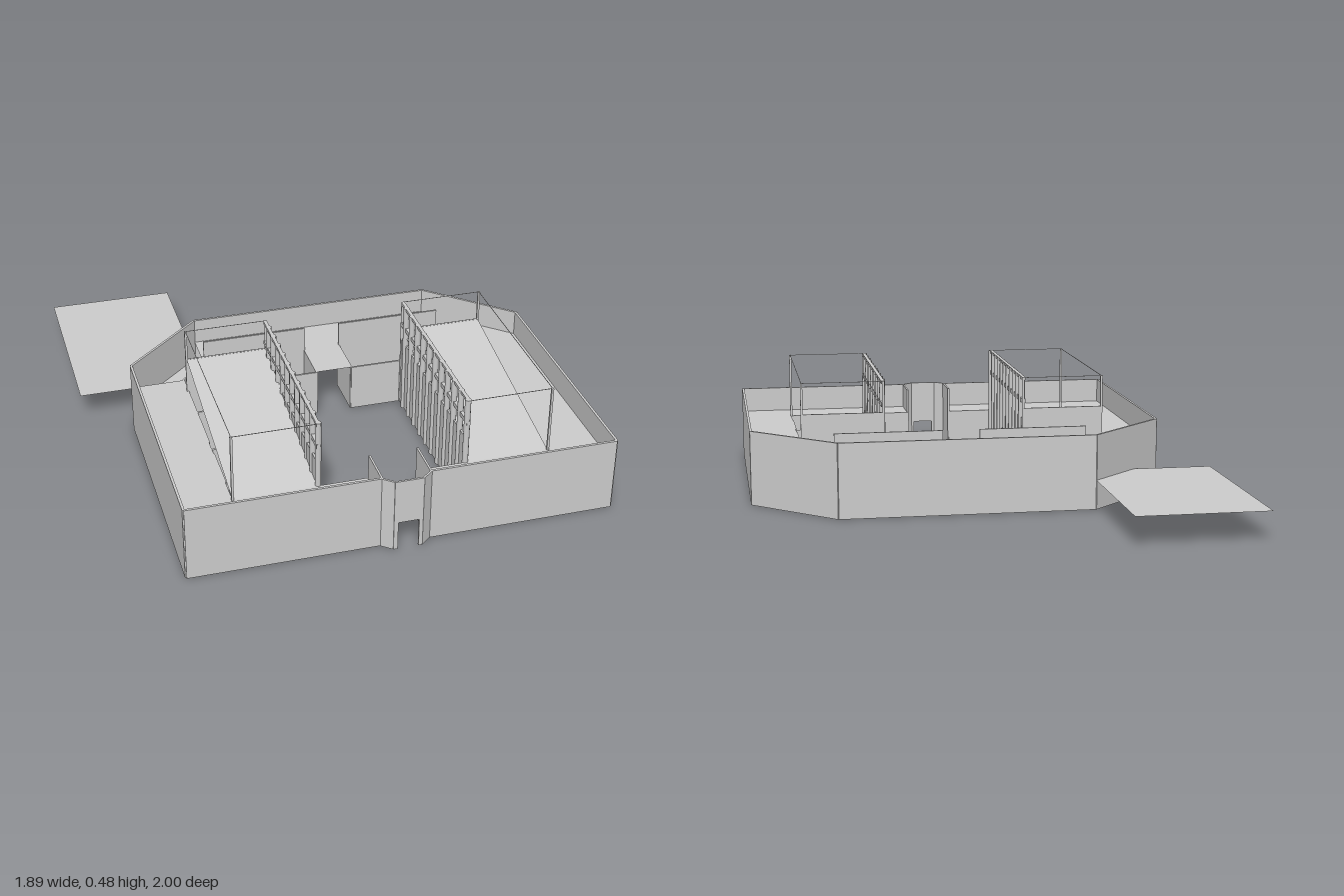
import * as THREE from 'three';

const stone = new THREE.MeshStandardMaterial({ color: 0xcccccc, side: THREE.DoubleSide });
stone.name = 'pale grey stone';

const WALL_TOP = 0.305, ROOF = 0.2, RAMP_TOP = 0.35, RAIL_TOP = 0.48;

export function createModel() {
  const model = new THREE.Group();

  const add = (name, geometry, x = 0, y = 0, z = 0) => {
    const mesh = new THREE.Mesh(geometry, stone);
    mesh.name = name;
    mesh.position.set(x, y, z);
    model.add(mesh);
    return mesh;
  };

  // upright wall between two plan points
  const wall = (name, [x1, z1], [x2, z2], y0, y1, t = 0.008) => {
    const length = Math.hypot(x2 - x1, z2 - z1);
    const mesh = add(name, new THREE.BoxGeometry(length, y1 - y0, t),
      (x1 + x2) / 2, (y0 + y1) / 2, (z1 + z2) / 2);
    mesh.rotation.y = -Math.atan2(z2 - z1, x2 - x1);
  };
  const wallRun = (name, points, y0, y1, t) => {
    for (let i = 1; i < points.length; i++) wall(name, points[i - 1], points[i], y0, y1, t);
  };

  // flat sheet from a plan outline
  const sheet = (name, points, y) => {
    const shape = new THREE.Shape(points.map(([x, z]) => new THREE.Vector2(x, -z)));
    return add(name, new THREE.ShapeGeometry(shape).rotateX(-Math.PI / 2), 0, y, 0);
  };
  const rect = (x1, z1, x2, z2) => [[x1, z2], [x2, z2], [x2, z1], [x1, z1]];

  // outer wall with cut back corners, open at the gate
  wallRun('outerWall', [
    [0, 0.957], [-0.745, 0.957], [-0.745, -0.085], [-0.42, -0.385],
    [0.61, -0.385], [0.936, -0.085], [0.936, 0.957], [0.19, 0.957],
  ], 0, WALL_TOP, 0.01);

  // projecting gatehouse with a doorway
  wallRun('gateLeftSide', [[0.19, 0.8], [0.19, 0.96], [0.15, 0.993]], 0, WALL_TOP);
  wallRun('gateRightSide', [[0, 0.8], [0, 0.96], [0.04, 0.993]], 0, WALL_TOP);
  const front = new THREE.Shape();
  [[0.038, 0], [0.055, 0], [0.055, 0.12], [0.137, 0.12], [0.137, 0], [0.152, 0],
    [0.152, WALL_TOP], [0.038, WALL_TOP]].forEach(([x, y], i) => (i ? front.lineTo(x, y) : front.moveTo(x, y)));
  add('gateFront', new THREE.ExtrudeGeometry(front, { depth: 0.008, bevelEnabled: false }), 0, 0, 0.989);

  // roofs of the outer ranges
  sheet('rightRangeRoof', [[-0.745, -0.085], [-0.53, -0.085], [-0.53, 0.8], [0, 0.8], [0, 0.957], [-0.745, 0.957]], ROOF);
  sheet('leftRangeRoof', [[0.725, -0.18], [0.834, -0.18], [0.936, -0.085], [0.936, 0.957], [0.19, 0.957], [0.19, 0.8], [0.725, 0.8]], ROOF);
  sheet('backRangeRoof', rect(-0.42, -0.385, 0.61, -0.195), ROOF);
  sheet('connectorRoof', rect(0.02, -0.195, 0.17, 0), ROOF);

  // walls facing the inner yards
  wallRun('rightYardWall', [[-0.42, -0.195], [-0.53, -0.09], [-0.53, 0]], 0, ROOF);
  wallRun('leftYardWall', [[0.61, -0.195], [0.725, -0.09], [0.725, 0]], 0, ROOF);
  wall('frontRangeWall', [-0.53, 0.8], [0, 0.8], 0, ROOF);
  wall('frontRangeWall', [0.725, 0.8], [0.19, 0.8], 0, ROOF);
  wall('backRangeWall', [-0.42, -0.195], [0.02, -0.195], 0, WALL_TOP);
  wall('backRangeWall', [0.17, -0.195], [0.61, -0.195], 0, WALL_TOP);
  for (const x of [0.02, 0.17]) wall('connectorWall', [x, -0.195], [x, 0], 0, ROOF);
  wall('courtBackWall', [-0.2, 0], [0.02, 0], 0, ROOF);
  wall('courtBackWall', [0.17, 0], [0.39, 0], 0, ROOF);

  // two galleries flanking the court
  for (const [side, outer, inner, s] of [['right', -0.53, -0.2, 1], ['left', 0.725, 0.39, -1]]) {
    const x1 = Math.min(outer, inner), x2 = Math.max(outer, inner);

    // deck rising from the front range to the back end wall
    const rise = RAMP_TOP - ROOF;
    const deck = sheet(side + 'GalleryDeck', rect(x1, 0, x2, Math.hypot(0.8, rise)), RAMP_TOP);
    deck.rotation.x = Math.atan2(rise, 0.8);
    wall(side + 'GalleryEnd', [x1, 0], [x2, 0], 0, RAMP_TOP);

    // rooms below the deck, with door gaps along the outer side
    for (const z of [0.17, 0.45]) wall(side + 'Partition', [x1, z], [x2, z], 0, ROOF);
    for (const z of [0, 0.2, 0.48]) wall(side + 'RoomWall', [outer, z], [outer, z + 0.2], 0, ROOF);

    for (const z of [0, 0.8]) {
      add(side + 'OuterPost', new THREE.BoxGeometry(0.009, RAIL_TOP - ROOF, 0.009), outer, (RAIL_TOP + ROOF) / 2, z);
      add(side + 'EndRail', new THREE.BoxGeometry(x2 - x1, 0.002, 0.002), (x1 + x2) / 2, RAIL_TOP - 0.001, z);
    }
    add(side + 'OuterRail', new THREE.BoxGeometry(0.002, 0.002, 0.8), outer, RAIL_TOP - 0.001, 0.4);

    // court wall with attached columns, open above and crossed by two rails
    wall(side + 'CourtWall', [inner, 0], [inner, 0.8], 0, WALL_TOP);
    for (let i = 0; i < 12; i++) {
      const z = Math.max(0.005, 0.79 - i * 0.0735);
      const r = i === 11 ? 0.006 : 0.012;
      add(side + 'Column', new THREE.CylinderGeometry(r, r, RAIL_TOP, 10), inner + s * 0.002, RAIL_TOP / 2, z);
    }
    for (const y of [0.38, 0.474]) {
      add(side + 'ColumnRail', new THREE.BoxGeometry(0.014, y < 0.4 ? 0.018 : 0.012, 0.8), inner, y, 0.402);
    }
  }

  // flat terrace beyond the back corner
  sheet('terrace', rect(-0.947, -1, -0.42, -0.205), 0.12);

  return model;
}
